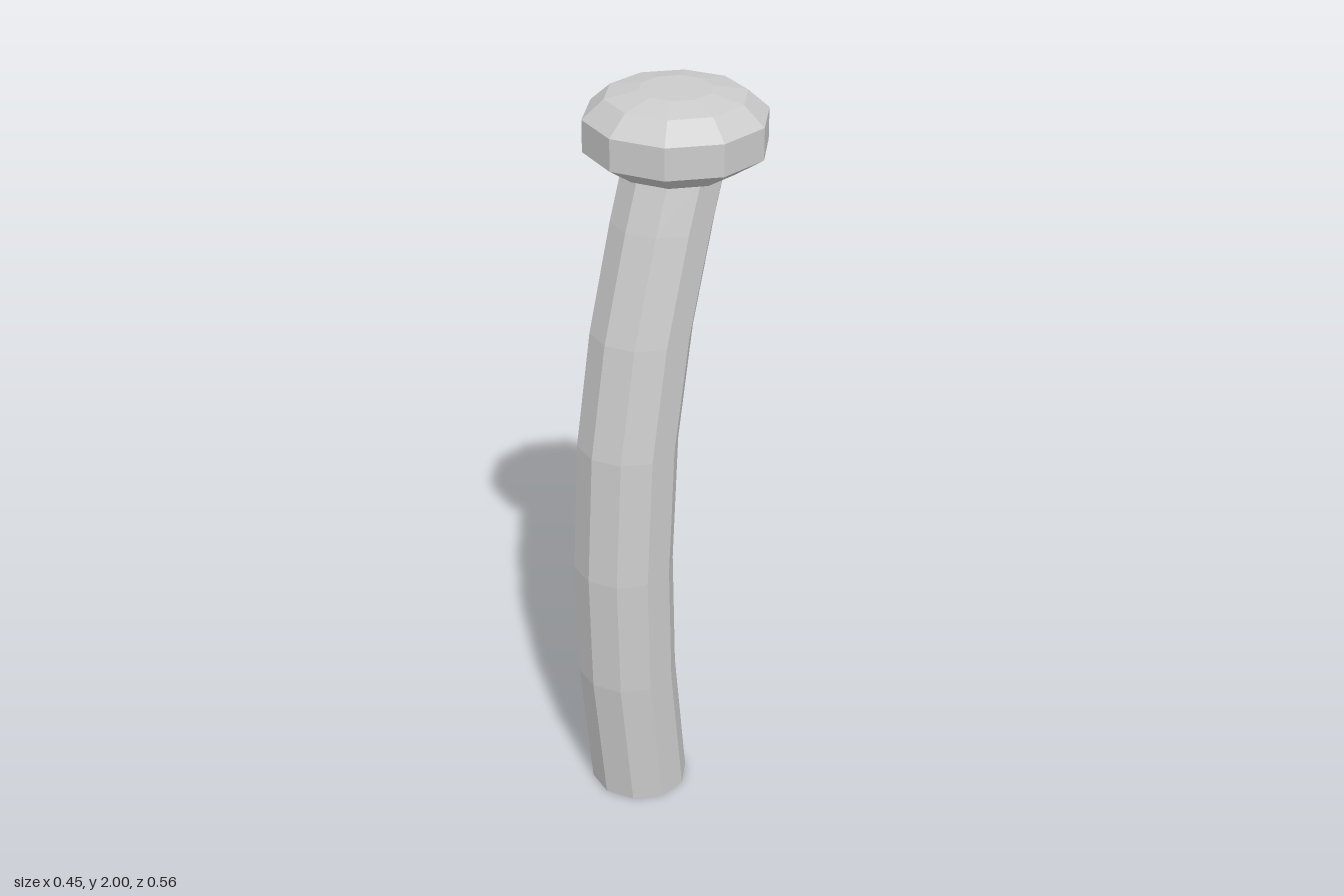
import * as THREE from 'three';

const SIDES = 10;

export function createModel() {
  const model = new THREE.Group();
  const material = new THREE.MeshStandardMaterial({ color: 0xcccccc, flatShading: true });

  // Bent stem: level decagon rings, each as [height, z of centre], from the foot up
  const rings = [
    [0, 0.093], [0.39, 0.138], [0.73, 0.148], [1.09, 0.128],
    [1.395, 0.075], [1.675, -0.003], [1.81, -0.048],
  ];
  const steps = rings.length - 1;
  const stemGeometry = new THREE.CylinderGeometry(0.133, 0.133, steps, SIDES, steps);
  const pos = stemGeometry.attributes.position;
  for (let i = 0; i < pos.count; i++) {
    const [y, z] = rings[Math.round(pos.getY(i) + steps / 2)];
    pos.setXYZ(i, pos.getX(i) - 0.002, y, pos.getZ(i) + z);
  }
  stemGeometry.computeVertexNormals();
  const stem = new THREE.Mesh(stemGeometry, material);
  stem.name = 'stem';
  model.add(stem);

  // Faceted cap with a bevelled underside and shallow domed top
  const profile = [
    [0, 1.803], [0.16, 1.803], [0.234, 1.852], [0.234, 1.935],
    [0.179, 1.984], [0.093, 2], [0, 2],
  ].map(([r, y]) => new THREE.Vector2(r, y));
  const cap = new THREE.Mesh(new THREE.LatheGeometry(profile, SIDES), material);
  cap.name = 'cap';
  cap.position.z = -0.05;
  model.add(cap);

  return model;
}
